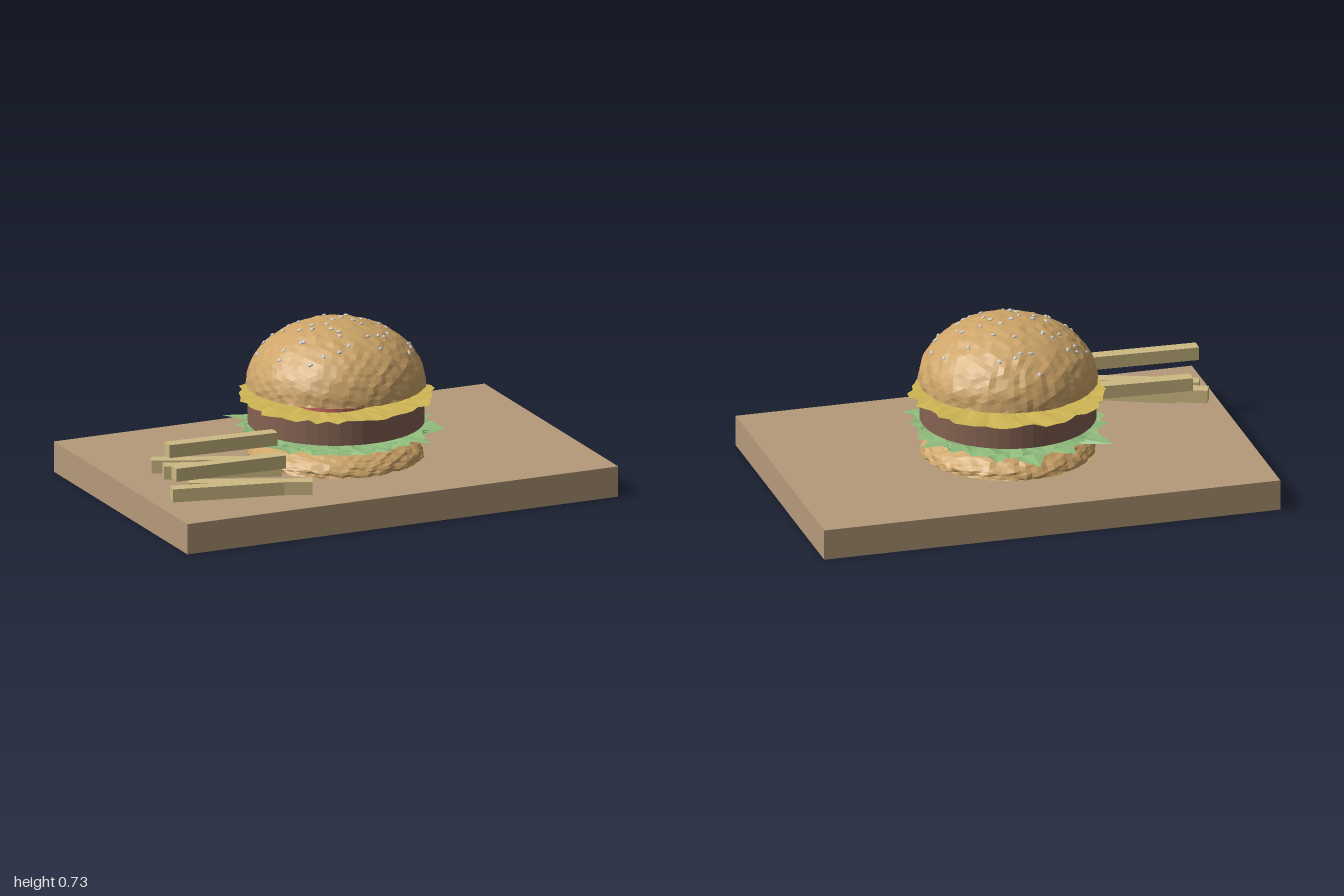
import * as THREE from 'three';

const COLORS = { board: 0xb59a7a, bun: 0xcda468, lettuce: 0x8fbb7c, patty: 0x866352, cheese: 0xd0b655, tomato: 0xc7695e, fry: 0xcdbb83, seed: 0xcccccc };

function material(name, doubleSide = false) {
  return new THREE.MeshStandardMaterial({
    color: COLORS[name], flatShading: true,
    side: doubleSide ? THREE.DoubleSide : THREE.FrontSide,
  });
}

// Small seeded generator
function seeded(seed) {
  let s = seed;
  return () => {
    s = (s * 16807) % 2147483647;
    return s / 2147483647;
  };
}

function add(parent, name, geometry, mat, x = 0, y = 0, z = 0) {
  const mesh = new THREE.Mesh(geometry, mat);
  mesh.name = name;
  mesh.position.set(x, y, z);
  parent.add(mesh);
  return mesh;
}

// Lumpy dome: a sphere whose lower half is pressed flat
function domeGeometry(radius, height, bump) {
  const geo = new THREE.IcosahedronGeometry(1, 14);
  const p = geo.attributes.position;
  const v = new THREE.Vector3();
  for (let i = 0; i < p.count; i++) {
    v.fromBufferAttribute(p, i);
    const { x, y, z } = v;
    const lump = Math.sin(17 * x + 5 * y) * Math.sin(19 * y + 4 * z) * Math.sin(16 * z + 6 * x)
      + 0.7 * Math.sin(37 * x + 11 * z) * Math.sin(33 * z - 9 * y);
    const k = 1 + bump * (lump - 0.3);
    p.setXYZ(i, x * k * radius, Math.max(0, y * k * height), z * k * radius);
  }
  geo.computeVertexNormals();
  return geo;
}

// Thin crumpled sheet: concentric rings with a ragged edge
function sheetGeometry(edgeRadii, ripple, rnd) {
  const n = edgeRadii.length;
  const rings = [0.3, 0.6, 0.85, 1];
  const positions = [0, 0, 0];
  const index = [];
  rings.forEach((f, r) => {
    for (let i = 0; i < n; i++) {
      const a = (i / n) * Math.PI * 2;
      const radius = r === rings.length - 1 ? edgeRadii[i] : f * 0.4;
      positions.push(Math.cos(a) * radius, (rnd() - 0.5) * ripple, Math.sin(a) * radius);
      const j = (i + 1) % n;
      const cur = 1 + r * n;
      if (r === 0) {
        index.push(0, cur + j, cur + i);
      } else {
        const prev = cur - n;
        index.push(prev + i, prev + j, cur + i, prev + j, cur + j, cur + i);
      }
    }
  });
  const geo = new THREE.BufferGeometry();
  geo.setAttribute('position', new THREE.Float32BufferAttribute(positions, 3));
  geo.setIndex(index);
  geo.computeVertexNormals();
  return geo;
}

function createLettuce() {
  const group = new THREE.Group();
  group.name = 'lettuce';
  const rnd = seeded(71);
  const mat = material('lettuce', true);
  // Long leaf tips: angle (toward +z from +x) and reach
  const tips = [[-1.57, 0.49], [-2.4, 0.51], [-0.4, 0.47], [1.02, 0.51], [2.93, 0.48],
    [1.7, 0.46], [0.5, 0.46], [-1.1, 0.45], [-1.95, 0.46], [2.2, 0.44]];
  const n = 48;
  for (let layer = 0; layer < 4; layer++) {
    const radii = Array.from({ length: n }, (_, i) => 0.365 + rnd() * (i % 2 ? 0.07 : 0.025));
    tips.forEach(([a, reach], t) => {
      if (t % 4 !== layer) return;
      radii[(Math.round((a / (Math.PI * 2)) * n) + n) % n] = reach;
    });
    add(group, 'lettuceLeaf', sheetGeometry(radii, 0.022, rnd), mat, 0, 0.247 + layer * 0.007, 0);
  }
  return group;
}

function createCheese() {
  const rnd = seeded(29);
  const radii = Array.from({ length: 60 }, () => 0.39 + rnd() * 0.04);
  const mesh = new THREE.Mesh(sheetGeometry(radii, 0.008, rnd), material('cheese', true));
  mesh.name = 'cheese';
  mesh.position.y = 0.393;
  return mesh;
}

function createTomatoes() {
  const group = new THREE.Group();
  group.name = 'tomatoSlices';
  const geo = new THREE.CylinderGeometry(0.167, 0.167, 0.036, 32);
  const mat = material('tomato');
  for (let i = 0; i < 3; i++) {
    const a = (i / 3) * Math.PI * 2;
    add(group, 'tomatoSlice', geo, mat, 0.143 * Math.cos(a), 0.426, 0.143 * Math.sin(a));
  }
  return group;
}

// Seeds scattered over the crown of the top bun
function createSeeds(baseY, radius, height) {
  const group = new THREE.Group();
  group.name = 'sesameSeeds';
  const rnd = seeded(413);
  const geo = new THREE.SphereGeometry(1, 8, 6);
  const mat = material('seed');
  const up = new THREE.Vector3(0, 1, 0);
  for (let i = 0; i < 50; i++) {
    const a = rnd() * Math.PI * 2;
    const r = 0.92 * Math.sqrt(rnd());
    const x = Math.cos(a) * r, z = Math.sin(a) * r, y = Math.sqrt(1 - r * r);
    const seed = add(group, 'sesameSeed', geo, mat, x * radius, baseY + y * height, z * radius);
    seed.scale.set(0.012, 0.006, 0.008);
    const normal = new THREE.Vector3(x / radius, y / height, z / radius).normalize();
    seed.quaternion.setFromUnitVectors(up, normal);
    seed.rotateY(rnd() * Math.PI);
  }
  return group;
}

function createFries() {
  const group = new THREE.Group();
  group.name = 'fries';
  const mat = material('fry');
  // Start x, z; end x, z; layer in the pile
  const sticks = [
    [-0.82, 0.29, -0.34, 0.495, 0], [-0.925, 0.345, -0.44, 0.45, 0],
    [-0.9, 0.21, -0.43, 0.38, 1], [-0.91, 0.11, -0.43, 0.315, 1],
    [-0.96, 0.445, -0.46, 0.462, 2], [-0.84, 0.12, -0.35, 0.145, 2],
  ];
  for (const [x0, z0, x1, z1, layer] of sticks) {
    const geo = new THREE.BoxGeometry(Math.hypot(x1 - x0, z1 - z0), 0.057, 0.057);
    const fry = add(group, 'fry', geo, mat, (x0 + x1) / 2, 0.168 + layer * 0.061, (z0 + z1) / 2);
    fry.rotation.y = -Math.atan2(z1 - z0, x1 - x0);
  }
  return group;
}

export function createModel() {
  const model = new THREE.Group();
  model.name = 'burgerOnBoard';

  // Serving board
  add(model, 'board', new THREE.BoxGeometry(2, 0.133, 1.333), material('board'), 0, 0.0665, 0);

  // Burger stack, bottom to top
  const bun = material('bun');
  add(model, 'bottomBun', domeGeometry(0.37, 0.128, 0.018), bun, 0, 0.134, 0);
  model.add(createLettuce());
  add(model, 'patty', new THREE.CylinderGeometry(0.373, 0.373, 0.105, 48), material('patty'), 0, 0.333, 0);
  model.add(createCheese(), createTomatoes());
  add(model, 'topBun', domeGeometry(0.38, 0.278, 0.012), bun, 0, 0.445, 0);
  model.add(createSeeds(0.445, 0.38, 0.278));

  // Side of fries
  model.add(createFries());
  return model;
}
